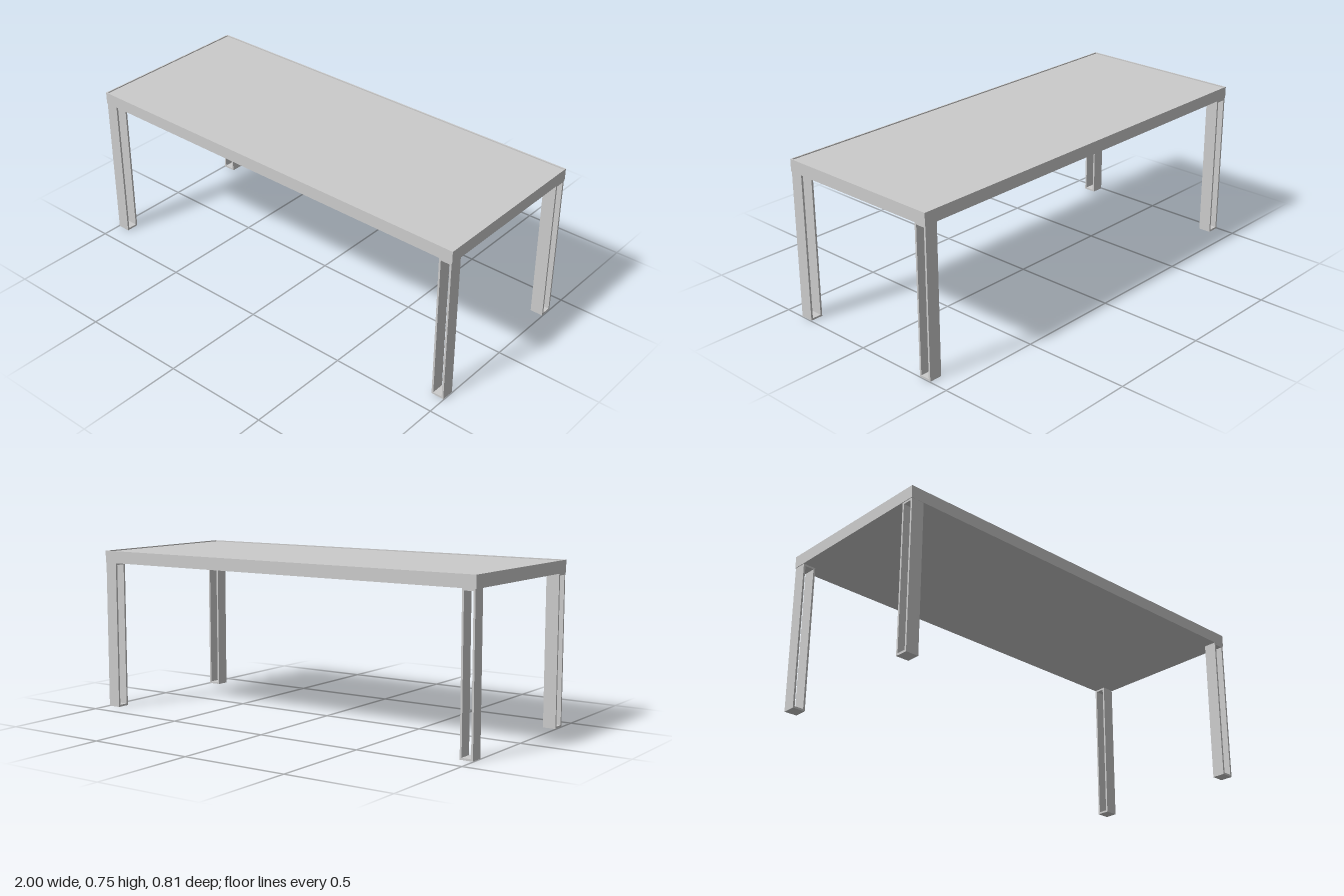
import * as THREE from 'three';

const material = new THREE.MeshStandardMaterial({ color: 0xcccccc, flatShading: true });

const LENGTH = 2, DEPTH = 0.814, HEIGHT = 0.75;
const TOP_THICKNESS = 0.057, RIM = 0.006, RECESS = 0.005;
const LEG_HEIGHT = HEIGHT - TOP_THICKNESS, LEG = 0.061, WALL = 0.009;

// Rectangle of given size centred on the origin, as a Shape or Path
function rectangle(Type, w, h) {
  return new Type([
    new THREE.Vector2(-w / 2, -h / 2), new THREE.Vector2(w / 2, -h / 2),
    new THREE.Vector2(w / 2, h / 2), new THREE.Vector2(-w / 2, h / 2),
  ]);
}

// Rectangular frame in the xy plane, centred on all axes
function frameGeometry(w, h, border, depth) {
  const shape = rectangle(THREE.Shape, w, h);
  shape.holes.push(rectangle(THREE.Path, w - 2 * border, h - 2 * border));
  const geometry = new THREE.ExtrudeGeometry(shape, { depth, bevelEnabled: false });
  return geometry.translate(0, 0, -depth / 2);
}

function addMesh(parent, name, geometry) {
  const mesh = new THREE.Mesh(geometry, material);
  mesh.name = name;
  parent.add(mesh);
  return mesh;
}

export function createModel() {
  const table = new THREE.Group();
  table.name = 'table';

  // Tabletop: thin outer rim around a slightly recessed panel
  const rim = addMesh(table, 'tabletopRim', frameGeometry(LENGTH, DEPTH, RIM, TOP_THICKNESS));
  rim.rotation.x = -Math.PI / 2;
  rim.position.y = HEIGHT - TOP_THICKNESS / 2;

  const panelHeight = TOP_THICKNESS - RECESS;
  const panel = addMesh(table, 'tabletopPanel',
    new THREE.BoxGeometry(LENGTH - 2 * RIM, panelHeight, DEPTH - 2 * RIM));
  panel.position.y = LEG_HEIGHT + panelHeight / 2;

  // Legs: tall open frames, turned a quarter from each corner to the next
  const legGeometry = frameGeometry(LEG, LEG_HEIGHT, WALL, LEG);
  for (const sx of [1, -1]) {
    for (const sz of [1, -1]) {
      const name = (sz > 0 ? 'front' : 'back') + (sx > 0 ? 'Left' : 'Right') + 'Leg';
      const leg = addMesh(table, name, legGeometry);
      leg.position.set(sx * (LENGTH / 2 - LEG / 2 - 0.003), LEG_HEIGHT / 2, sz * (DEPTH / 2 - LEG / 2 - 0.001));
      if (sx !== sz) leg.rotation.y = Math.PI / 2;
    }
  }
  return table;
}
